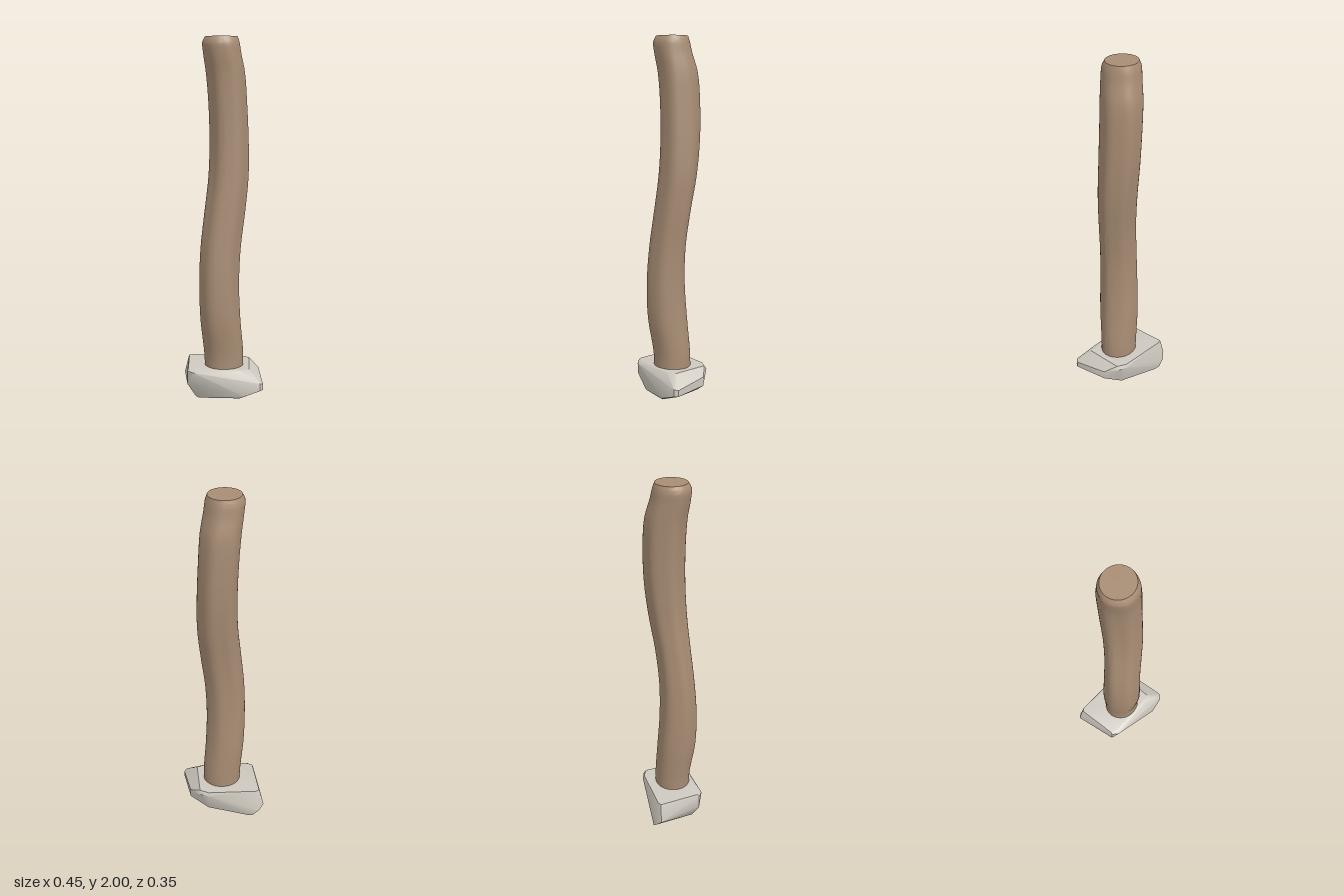
import * as THREE from 'three';
import { mergeVertices, toCreasedNormals } from 'three/addons/utils/BufferGeometryUtils.js';
import { ConvexGeometry } from 'three/addons/geometries/ConvexGeometry.js';

// Cross-section limits along the post: y, min x, max x, min z, max z
const SECTIONS = [
  [0.14, -0.10, 0.115, -0.092, 0.105], [0.25, -0.105, 0.115, -0.092, 0.106],
  [0.45, -0.125, 0.098, -0.086, 0.132], [0.65, -0.13, 0.09, -0.074, 0.134],
  [0.85, -0.122, 0.098, -0.071, 0.122], [1.05, -0.10, 0.122, -0.084, 0.106],
  [1.25, -0.077, 0.141, -0.112, 0.092], [1.45, -0.071, 0.141, -0.135, 0.083],
  [1.65, -0.077, 0.132, -0.142, 0.081], [1.81, -0.09, 0.12, -0.135, 0.086],
  [1.91, -0.104, 0.10, -0.112, 0.096], [1.97, -0.109, 0.09, -0.101, 0.096],
  [2.0, -0.096, 0.08, -0.09, 0.08],
];

function postGeometry() {
  const spline = (pick) => new THREE.CatmullRomCurve3(SECTIONS.map(pick));
  const centre = spline(([y, a, b, c, d]) => new THREE.Vector3((a + b) / 2, y, (c + d) / 2));
  const radius = spline(([y, a, b, c, d]) => new THREE.Vector3((b - a) / 2, y, (d - c) / 2));
  const geo = new THREE.CylinderGeometry(1, 1, 1, 48, (SECTIONS.length - 1) * 4);
  const p = geo.attributes.position;
  for (let i = 0; i < p.count; i++) {
    const x = p.getX(i), z = p.getZ(i), t = p.getY(i) + 0.5;
    const c = centre.getPoint(t), r = radius.getPoint(t);
    // Shallow lengthwise ridges, fading out toward both ends
    const angle = Math.atan2(z, x);
    const fade = Math.sin(Math.PI * t);
    const k = 1 + fade * (0.035 * Math.cos(6 * angle + 0.5) + 0.02 * Math.cos(3 * angle + 4 * t) - 0.02);
    p.setXYZ(i, c.x + x * r.x * k, c.y, c.z + z * r.z * k);
  }
  geo.deleteAttribute('uv');
  geo.deleteAttribute('normal');
  return toCreasedNormals(mergeVertices(geo, 1e-5), 0.75);
}

function stoneGeometry() {
  const corners = [
    // top face
    [-0.2, 0.18, -0.145], [-0.19, 0.18, 0.085], [-0.15, 0.18, 0.105], [0.1, 0.178, 0.12],
    [0.15, 0.18, 0.1], [0.15, 0.18, -0.11], [0.1, 0.18, -0.138], [-0.18, 0.18, -0.155],
    // bevel under the top
    [-0.206, 0.165, -0.15], [-0.195, 0.165, 0.095], [-0.16, 0.165, 0.125],
    [0.1, 0.16, -0.147], [0.15, 0.16, -0.125],
    // bulging sides
    [-0.228, 0.075, -0.155], [-0.2, 0.045, -0.175], [-0.195, 0.09, 0.095],
    [0.203, 0.14, -0.055], [0.203, 0.09, -0.055], [0.227, 0.115, 0.145],
    [0.227, 0.08, 0.145], [0.212, 0.12, 0.163], [0.212, 0.08, 0.165], [0.125, 0.05, 0.175],
    // underside
    [-0.16, 0.012, -0.178], [-0.13, 0.003, -0.165], [-0.15, 0.01, 0.07],
    [-0.13, 0.008, 0.09], [0.1, 0.032, 0.155], [0.12, 0.038, 0.13], [0.1, 0.028, -0.1],
  ];
  const hull = new ConvexGeometry(corners.map((c) => new THREE.Vector3(...c)));
  return toCreasedNormals(hull, 0.6);
}

export function createModel() {
  const group = new THREE.Group();
  const add = (name, geometry, color) => {
    const mesh = new THREE.Mesh(geometry, new THREE.MeshStandardMaterial({ color }));
    mesh.name = name;
    group.add(mesh);
  };
  add('woodenPost', postGeometry(), 0xa88d74);
  add('baseStone', stoneGeometry(), 0xcdc8bf);
  return group;
}
